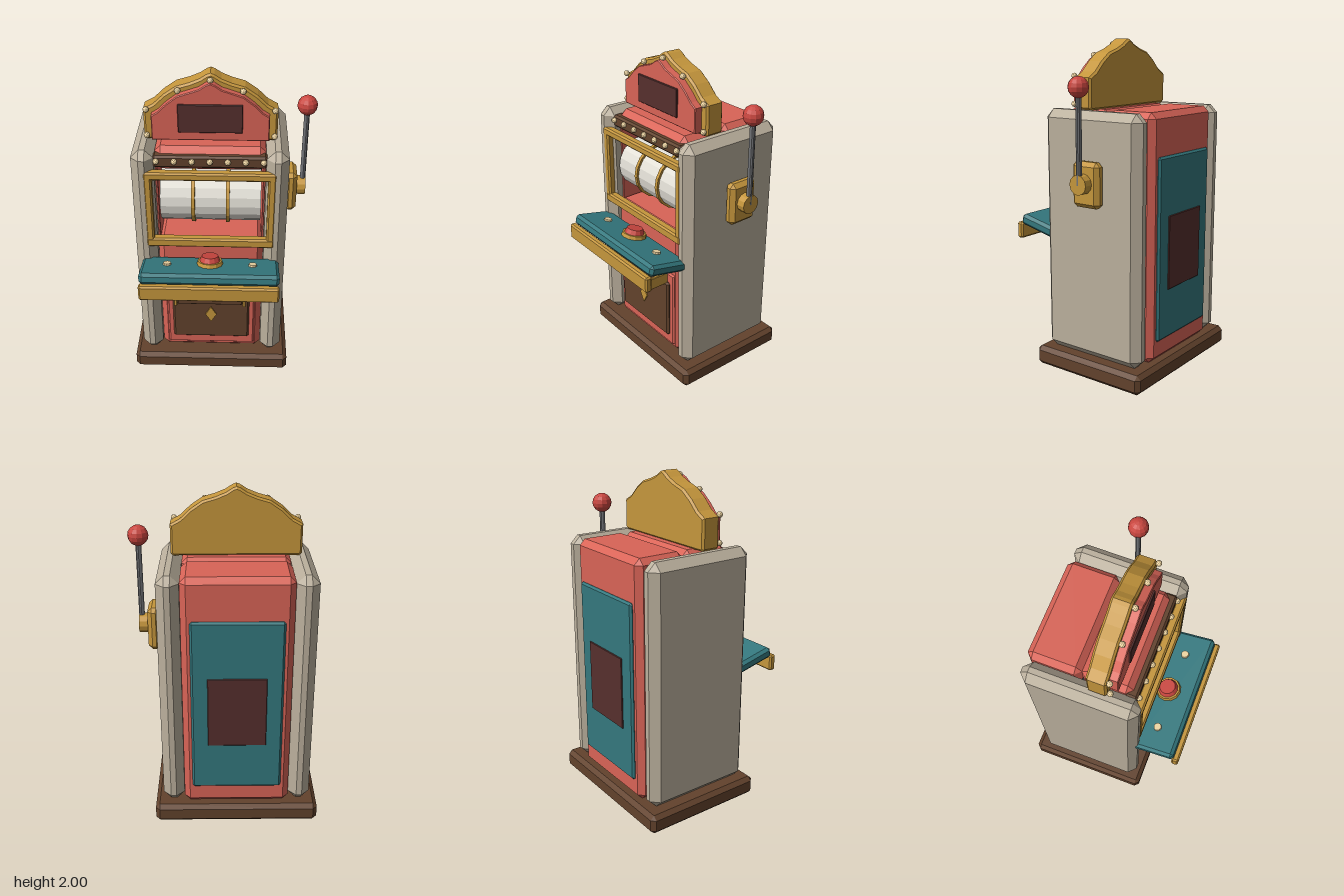
import * as THREE from 'three';
import { ConvexGeometry } from 'three/addons/geometries/ConvexGeometry.js';

const CX = -0.06; // centre line of the cabinet
const mat = (color) => new THREE.MeshStandardMaterial({ color, flatShading: true });
const M = {
  coral: mat(0xd96457), beige: mat(0xbbb09d), brown: mat(0x62422c), gold: mat(0xc5963c),
  teal: mat(0x34787e), red: mat(0xc9463f), maroon: mat(0x562f2d), black: mat(0x23282c),
  cream: mat(0xecd3a0), drum: mat(0xe2dfd6), steel: mat(0x707276),
};

// Box with all edges chamfered, given by its limits on each axis
function chamferBox([x0, x1], [y0, y1], [z0, z1], c) {
  const h = [(x1 - x0) / 2, (y1 - y0) / 2, (z1 - z0) / 2];
  const pts = [];
  for (const sx of [-1, 1]) for (const sy of [-1, 1]) for (const sz of [-1, 1])
    for (let full = 0; full < 3; full++) {
      const [a, b, d] = h.map((v, i) => (i === full ? v : v - c));
      pts.push(new THREE.Vector3(sx * a, sy * b, sz * d));
    }
  return new ConvexGeometry(pts).translate((x0 + x1) / 2, (y0 + y1) / 2, (z0 + z1) / 2);
}

export function createModel() {
  const root = new THREE.Group();
  root.name = 'slotMachine';

  function add(name, geo, material, parent = root) {
    const mesh = new THREE.Mesh(geo, material);
    mesh.name = name;
    parent.add(mesh);
    return mesh;
  }
  const box = (name, x, y, z, c, material, parent) =>
    add(name, chamferBox(x, y, z, c), material, parent);
  const bulb = (x, y, z) =>
    add('bulb', new THREE.IcosahedronGeometry(0.018, 1).translate(x, y, z), M.cream);
  // Limits centred on the cabinet
  const mid = (half) => [CX - half, CX + half];

  // Plinth and side panels
  box('plinth', [-0.56, 0.44], [0, 0.12], [-0.5, 0.28], 0.025, M.brown);
  box('rightSidePanel', [-0.512, -0.382], [0.12, 1.6], [-0.455, 0.235], 0.048, M.beige);
  box('leftSidePanel', [0.262, 0.392], [0.12, 1.6], [-0.455, 0.235], 0.048, M.beige);

  // Cabinet core, leaving a bay for the reels
  box('backBody', mid(0.32), [0.12, 1.6], [-0.46, -0.14], 0.035, M.coral);
  box('lowerBody', mid(0.32), [0.12, 1.0], [-0.17, 0.19], 0.035, M.coral);
  box('upperBody', mid(0.32), [1.45, 1.6], [-0.14, 0.16], 0.035, M.coral);
  for (const s of [-1, 1])
    box('bayWall', mid(0.007).map((v) => v + s * 0.313), [0.97, 1.47], [-0.13, 0.15], 0.003, M.coral);
  box('bayBack', mid(0.305), [1.0, 1.45], [-0.15, -0.12], 0.004, M.black);

  // Reels and the gold dividers between them
  const disc = (r, w, n) => new THREE.CylinderGeometry(r, r, w, n).rotateZ(Math.PI / 2);
  for (const i of [-1, 0, 1])
    add('reel', disc(0.162, 0.185, 18).translate(CX + i * 0.205, 1.225, 0.02), M.drum);
  for (const s of [-1, 1])
    add('reelDivider', disc(0.176, 0.022, 18).translate(CX + s * 0.1025, 1.225, 0.02), M.gold);

  // Window frame
  for (const y of [[0.97, 1.03], [1.43, 1.48]])
    box('frameRail', mid(0.382), y, [0.185, 0.24], 0.01, M.gold);
  for (const s of [-1, 1])
    box('framePost', mid(0.024).map((v) => v + s * 0.358), [0.97, 1.48], [0.183, 0.238], 0.01, M.gold);

  // Lamp strip above the window
  box('lampStrip', mid(0.327), [1.49, 1.565], [0.12, 0.195], 0.012, M.brown);
  for (let i = -3; i <= 3; i++) bulb(CX + i * 0.102, 1.535, 0.2);

  // Tilted control shelf with its buttons and front lip
  const shelf = new THREE.Group();
  shelf.name = 'controlShelf';
  shelf.position.set(CX, 0.865, 0.335);
  shelf.rotation.x = -0.22;
  root.add(shelf);
  box('shelfTop', [-0.414, 0.414], [-0.035, 0.035], [-0.135, 0.135], 0.018, M.teal, shelf);
  const button = (name, r0, r1, h, x, y, z, n, m) =>
    add(name, new THREE.CylinderGeometry(r0, r1, h, n).translate(x, y, z), m, shelf);
  button('buttonRing', 0.074, 0.08, 0.03, 0, 0.043, -0.035, 12, M.gold);
  button('mainButton', 0.05, 0.065, 0.035, 0, 0.07, -0.035, 12, M.red);
  for (const s of [-1, 1])
    button('smallButton', 0.024, 0.026, 0.014, s * 0.257, 0.04, -0.015, 10, M.cream);
  box('shelfLip', mid(0.414), [0.766, 0.868], [0.46, 0.504], 0.01, M.gold);

  // Lower door with diamond
  box('doorSurround', mid(0.28), [0.17, 0.695], [0.17, 0.203], 0.01, M.coral);
  box('door', mid(0.245), [0.235, 0.63], [0.19, 0.222], 0.012, M.brown);
  const diamond = new THREE.Shape([[0, 0.06], [-0.035, 0], [0, -0.06], [0.035, 0]]
    .map(([x, y]) => new THREE.Vector2(x, y)));
  add('diamond', new THREE.ExtrudeGeometry(diamond, { depth: 0.012, bevelEnabled: false })
    .translate(CX, 0.435, 0.219), M.gold);

  // Coin tray between two gold brackets
  box('tray', mid(0.2), [0.625, 0.66], [0.19, 0.36], 0.006, M.brown);
  box('trayLip', mid(0.2), [0.64, 0.685], [0.335, 0.36], 0.006, M.brown);
  for (const s of [-1, 1])
    box('trayBracket', mid(0.01).map((v) => v + s * 0.21), [0.618, 0.695], [0.19, 0.37], 0.004, M.gold);

  // Crown sign: mirrored outline, bevelled shell and raised face
  const half = [[0, 2.0], [0.022, 1.992], [0.06, 1.967], [0.12, 1.942], [0.195, 1.92],
    [0.265, 1.872], [0.325, 1.815], [0.383, 1.783], [0.383, 1.612], [0.368, 1.597]];
  const halfFace = [[0, 1.962], [0.025, 1.952], [0.065, 1.925], [0.185, 1.885],
    [0.25, 1.835], [0.295, 1.79], [0.335, 1.765], [0.335, 1.617]];
  const crown = (name, profile, z0, z1, bevel, m) => {
    const left = profile.filter(([x]) => x > 0).reverse().map(([x, y]) => [-x, y]);
    const shape = new THREE.Shape([...left, ...profile].map(([x, y]) => new THREE.Vector2(x, y)));
    const geo = new THREE.ExtrudeGeometry(shape, {
      depth: z1 - z0 - 2 * bevel, bevelThickness: bevel, bevelSize: bevel,
      bevelOffset: -bevel, bevelSegments: 1, bevelEnabled: bevel > 0,
    });
    add(name, geo.translate(CX, 0, z0 + bevel), m);
  };
  crown('crownShell', half, -0.072, 0.045, 0.012, M.gold);
  crown('crownFace', halfFace, 0.03, 0.093, 0.005, M.coral);
  box('signPlate', mid(0.183), [1.67, 1.84], [0.085, 0.104], 0.003, M.maroon);
  bulb(CX, 1.967, 0.058);
  for (const s of [-1, 1])
    for (const [x, y] of [[0.183, 1.905], [0.365, 1.79], [0.367, 1.63]])
      bulb(CX + s * x, y, 0.058);

  // Pull lever on the left side
  box('leverPlate', [0.388, 0.462], [1.06, 1.325], [-0.228, -0.038], 0.025, M.gold);
  add('leverHub', disc(0.058, 0.06, 12).translate(0.486, 1.202, -0.132), M.gold);
  add('leverRod', new THREE.CylinderGeometry(0.017, 0.017, 0.52, 10).translate(0.5, 1.46, -0.132), M.steel);
  add('leverKnob', new THREE.SphereGeometry(0.06, 12, 8).translate(0.5, 1.742, -0.132), M.red);

  // Service hatch on the back
  box('serviceHatch', mid(0.268), [0.25, 1.35], [-0.477, -0.45], 0.012, M.teal);
  box('hatchPlate', mid(0.172), [0.555, 1.0], [-0.484, -0.47], 0.003, M.maroon);

  return root;
}
